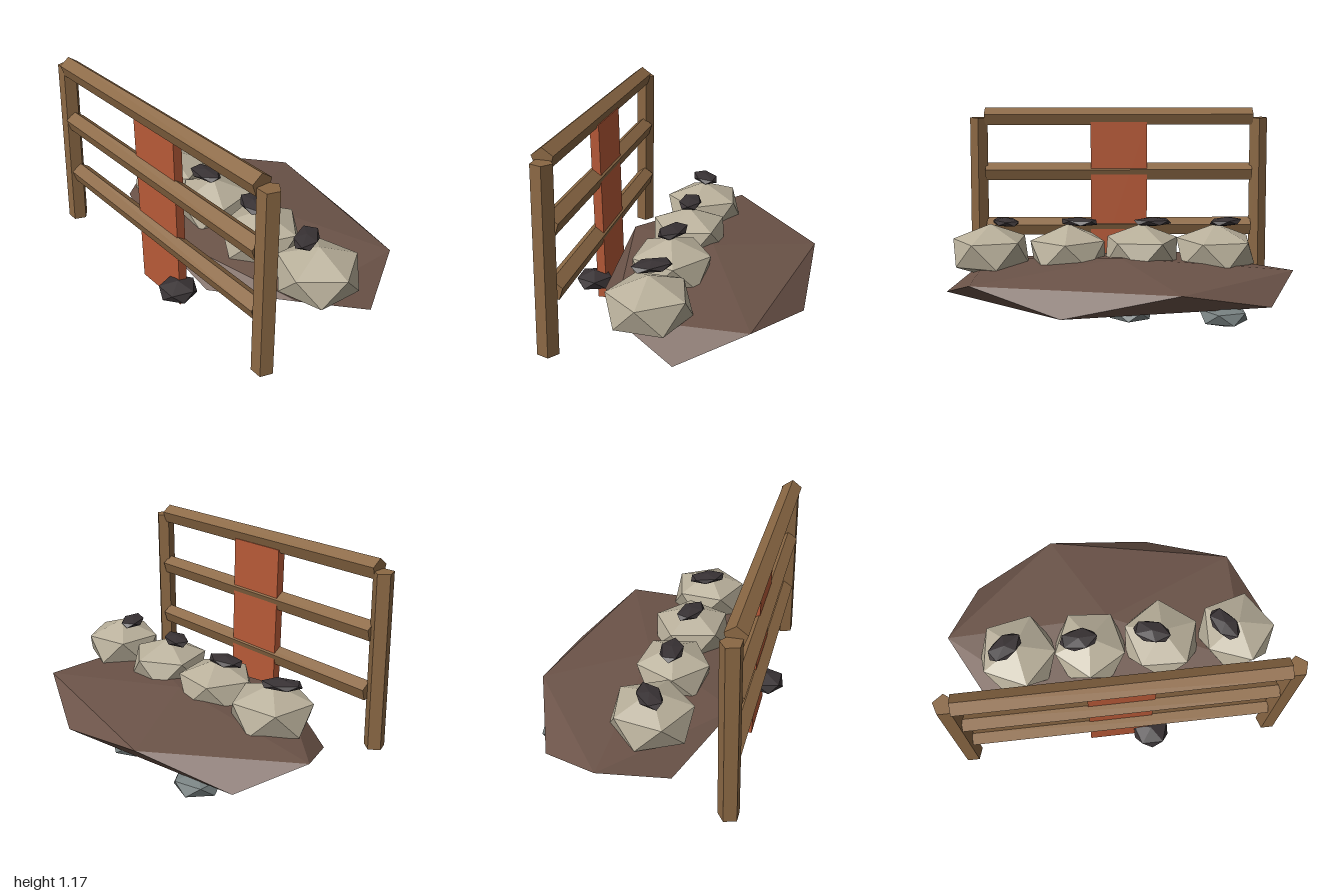
import * as THREE from 'three';

const material = (name, color) => {
  const m = new THREE.MeshStandardMaterial({ color, flatShading: true });
  m.name = name;
  return m;
};

export function createModel() {
  const group = new THREE.Group();
  const earth = material('earth brown', 0x6b5348);
  const wood = material('wood', 0x8b6844);
  const rust = material('rust red', 0xb85a38);
  const pale = material('pale stone', 0xb8af9a);
  const dark = material('charcoal', 0x383234);
  const grey = material('grey stone', 0x778080);

  const add = (name, geometry, mat, x, y, z) => {
    const mesh = new THREE.Mesh(geometry, mat);
    mesh.name = name;
    mesh.position.set(x, y, z);
    group.add(mesh);
    return mesh;
  };

  // Icosahedron stood on a corner; rx and rz are the radii of its rings,
  // ry its half height, turn the angle in degrees from +x towards +z.
  const stone = (name, mat, [x, y, z], [rx, ry, rz], turn = 0) => {
    const ring = 2 / Math.sqrt(5);
    const g = new THREE.IcosahedronGeometry(1, 0);
    g.rotateZ(-Math.atan(2 / (1 + Math.sqrt(5))));
    g.scale(rx / ring, ry, rz / ring);
    g.rotateY(-THREE.MathUtils.degToRad(turn));
    g.computeVertexNormals();
    return add(name, g, mat, x, y, z);
  };

  // Ground slab
  stone('groundSlab', earth, [0, 0.195, -0.108], [1, 0.135, 0.605], 180);

  // Row of pale boulders, each with a dark flat stone on top
  [
    [-0.57, 0.232, 7, -35],
    [-0.13, 0.22, 23, -5],
    [0.305, 0.228, -16, 20],
    [0.765, 0.225, 3, 57],
  ].forEach(([x, r, turn, capTurn], i) => {
    stone('boulder' + (i + 1), pale, [x, 0.337, 0.07], [r, 0.163, r], turn);
    stone('capStone' + (i + 1), dark, [-0.63 + i * 0.435, 0.51, 0.077], [0.113, 0.027, 0.067], capTurn);
  });

  // Small stones under the slab
  [
    [-0.55, 0.095, -0.46, 0.13, 0.065],
    [-0.05, 0.12, -0.5, 0.11, 0.05],
    [0.22, 0.09, 0.08, 0.11, 0.06],
    [0.55, 0.12, -0.23, 0.1, 0.047],
  ].forEach(([x, y, z, r, h], i) =>
    stone('underStone' + (i + 1), grey, [x, y, z], [r, h, r], i * 25));
  stone('darkUnderStone', dark, [-0.29, 0.09, 0.25], [0.11, 0.06, 0.11], 20);
  stone('darkFrontStone', dark, [0.187, 0.123, 0.575], [0.106, 0.056, 0.106], 54);

  // Leaning five-sided fence posts
  for (const side of [-1, 1]) {
    const g = new THREE.CylinderGeometry(0.058, 0.06, 1.045, 5);
    g.rotateY(Math.PI);
    const post = add(side < 0 ? 'rightPost' : 'leftPost', g, wood, side * 0.9, 0.585, 0.562);
    post.rotation.set(-0.033, 0, side * 0.017);
  }

  // Five-sided rails with a ridge on top
  [0.4, 0.757, 1.11].forEach((y, i) => {
    const g = new THREE.CylinderGeometry(0.06, 0.06, 1.71, 5);
    g.rotateX(-Math.PI / 2);
    g.rotateY(Math.PI / 2);
    // place one corner straight up
    const p = g.attributes.position;
    let top = -1;
    for (let k = 0; k < p.count; k++) top = Math.max(top, p.getY(k));
    if (top < 0.0599) g.rotateX(Math.PI);
    add('rail' + (i + 1), g, wood, 0, y, 0.556);
  });

  // Upright board
  add('board', new THREE.BoxGeometry(0.36, 1.08, 0.052), rust, 0, 0.54, 0.535);

  return group;
}
